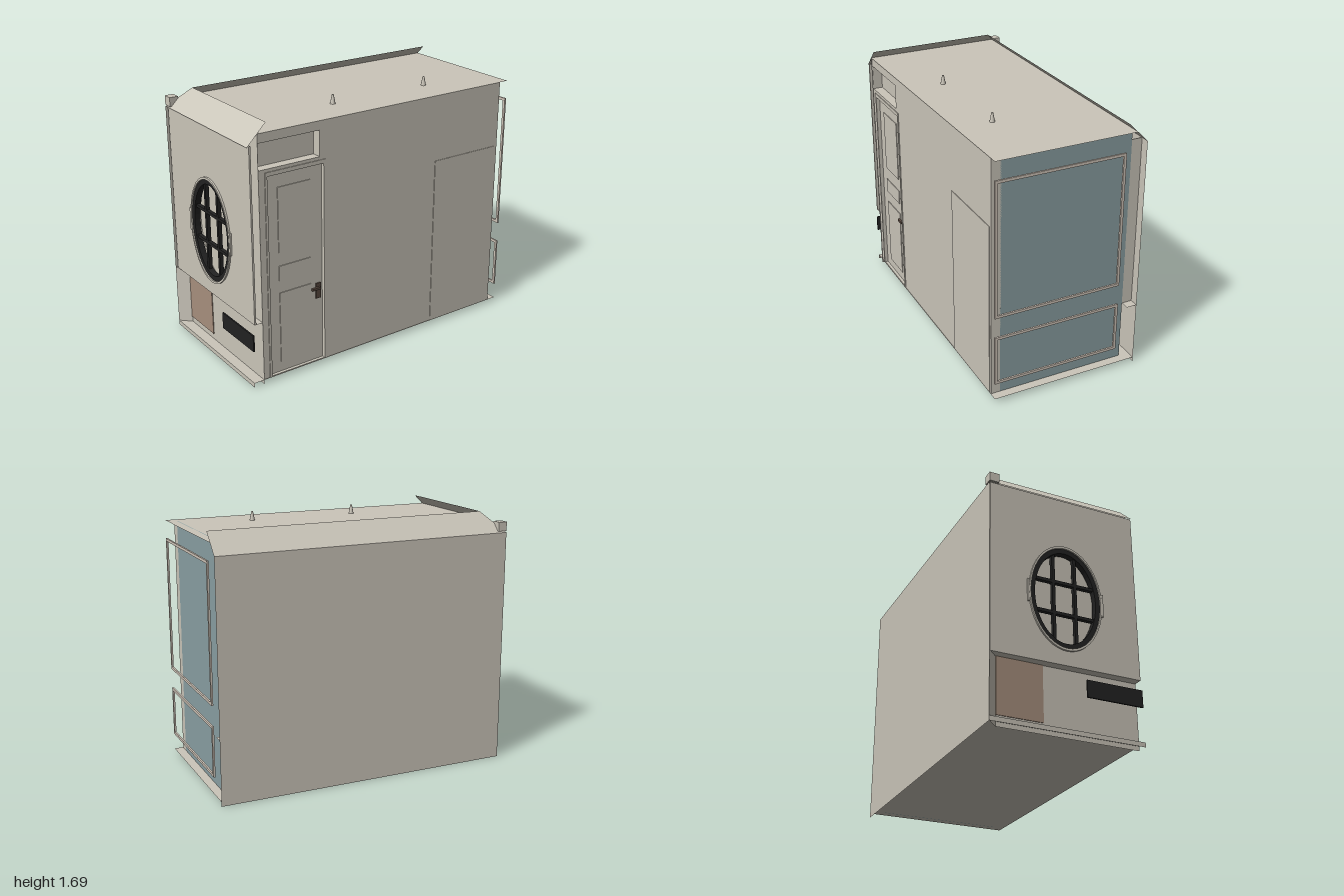
import * as THREE from 'three';

const mat = (name, color) => {
  const m = new THREE.MeshStandardMaterial({ color, side: THREE.DoubleSide });
  m.name = name;
  return m;
};

export function createModel() {
  const root = new THREE.Group();
  root.name = 'corridorSection';
  const plaster = mat('plaster', 0xcbc6ba);
  const teal = mat('tealPaint', 0x8aa0a3);
  const black = mat('blackMetal', 0x222222);
  const brown = mat('brownPanel', 0xa8907e);
  const bronze = mat('bronze', 0x5a4a40);
  const trim = mat('paleTrim', 0xcfc4b8);

  const add = (name, geo, material, parent = root) => {
    const m = new THREE.Mesh(geo, material);
    m.name = name;
    parent.add(m);
    return m;
  };
  // Box given by its minimum and maximum on each axis
  const box = (name, [x0, x1], [y0, y1], [z0, z1], material, parent) => {
    const m = add(name, new THREE.BoxGeometry(x1 - x0, y1 - y0, z1 - z0), material, parent);
    m.position.set((x0 + x1) / 2, (y0 + y1) / 2, (z0 + z1) / 2);
    return m;
  };
  // Flat four-cornered sheet
  const quad = (name, corners, material) => {
    const g = new THREE.BufferGeometry();
    g.setAttribute('position', new THREE.Float32BufferAttribute(corners.flat(), 3));
    g.setIndex([0, 1, 2, 0, 2, 3]);
    g.computeVertexNormals();
    return add(name, g, material);
  };
  const rect = (C, x0, x1, y0, y1) =>
    new C([[x0, y0], [x1, y0], [x1, y1], [x0, y1]].map(([x, y]) => new THREE.Vector2(x, y)));
  const oval = (C, rx, ry) => new C().absellipse(0.005, 0.875, rx, ry, 0, Math.PI * 2);
  const extrude = (shape, holes, depth) => {
    shape.holes.push(...holes);
    return new THREE.ExtrudeGeometry(shape, { depth, bevelEnabled: false, curveSegments: 24 });
  };

  // Floor and ceiling sheets, with a low rim under the floor
  quad('floor', [[-0.5, 0.03, 1], [0.5, 0.03, 1], [0.5, 0.03, -1], [-0.5, 0.03, -1]], plaster);
  quad('ceiling', [[-0.43, 1.63, 0.93], [0.5, 1.63, 0.93], [0.5, 1.63, -1], [-0.43, 1.63, -1]], plaster);
  quad('frontRim', [[-0.5, 0, 1], [0.5, 0, 1], [0.5, 0.03, 1], [-0.5, 0.03, 1]], plaster);

  // Sloping cornices that rise past the ceiling and meet at a mitre
  quad('frontCornice', [[-0.5, 1.56, 1], [0.5, 1.56, 1], [0.5, 1.69, 0.87], [-0.37, 1.69, 0.87]], plaster);
  quad('sideCornice', [[-0.5, 1.56, -1], [-0.5, 1.56, 1], [-0.37, 1.69, 0.87], [-0.37, 1.69, -1]], plaster);
  box('corniceCorner', [-0.5, -0.435], [1.57, 1.63], [0.94, 1], plaster);

  // Plain side wall and its inner layer
  quad('outerSideWall', [[-0.5, 0, -1], [-0.5, 0, 1], [-0.5, 1.56, 1], [-0.5, 1.56, -1]], plaster);
  quad('innerSideWall', [[-0.43, 0.03, -0.94], [-0.43, 0.03, 0.93], [-0.43, 1.63, 0.93], [-0.43, 1.63, -0.94]], plaster);
  quad('sideLedge', [[-0.5, 0.43, 1], [-0.43, 0.43, 0.93], [-0.43, 0.43, -1], [-0.5, 0.43, -1]], plaster);

  // Front: recessed lower wall, overhanging upper wall with an oval opening
  quad('innerFrontWall', [[-0.43, 0, 0.93], [0.5, 0, 0.93], [0.5, 1.63, 0.93], [-0.43, 1.63, 0.93]], plaster);
  quad('lowerMitre', [[-0.5, 0, 1], [-0.43, 0, 0.93], [-0.43, 0.43, 0.93], [-0.5, 0.43, 1]], plaster);
  quad('frontLedge', [[-0.5, 0.43, 0.985], [0.5, 0.43, 0.985], [0.5, 0.43, 0.93], [-0.43, 0.43, 0.93]], plaster);
  add('upperFrontWall', extrude(rect(THREE.Shape, -0.49, 0.5, 0.43, 1.565), [oval(THREE.Path, 0.24, 0.345)], 0.012), plaster)
    .position.z = 0.975;
  box('brownPanel', [-0.43, -0.13], [0.07, 0.43], [0.93, 0.935], brown);
  box('vent', [0.125, 0.5], [0.25, 0.36], [0.99, 1], black);

  // Oval window
  const win = new THREE.Group();
  win.name = 'ovalWindow';
  root.add(win);
  add('windowSurround', extrude(oval(THREE.Shape, 0.245, 0.352), [oval(THREE.Path, 0.235, 0.337)], 0.069), plaster, win)
    .position.z = 0.93;
  add('windowFrame', extrude(oval(THREE.Shape, 0.235, 0.337), [oval(THREE.Path, 0.205, 0.305)], 0.04), black, win)
    .position.z = 0.95;
  for (const s of [-1, 1]) {
    const x = 0.005 + s * 0.073, y = 0.875 + s * 0.105, ear = 0.005 + s * 0.249;
    box('uprightBar', [x - 0.01, x + 0.01], [0.573, 1.177], [0.955, 0.98], black, win);
    box('crossBar', [-0.203, 0.213], [y - 0.01, y + 0.01], [0.955, 0.98], black, win);
    box('windowEar', [ear - 0.006, ear + 0.006], [0.8, 0.95], [0.93, 0.998], plaster, win);
  }

  // Door wall with a door opening and a transom recess; shape x is -z
  const wall = add('doorWall', extrude(rect(THREE.Shape, -0.93, 0.94, 0.03, 1.63), [
    rect(THREE.Path, -0.875, -0.47, 0.035, 1.37),
    rect(THREE.Path, -0.925, -0.5, 1.405, 1.57),
  ], 0.065), plaster);
  wall.rotation.y = Math.PI / 2;
  wall.position.x = 0.43;
  box('transomBack', [0.425, 0.43], [1.4, 1.575], [0.495, 0.928], plaster);
  box('wallPanel', [0.495, 0.499], [0.03, 1.19], [-0.92, -0.4], plaster);

  // Door frame, leaf, raised panels and handle
  const door = new THREE.Group();
  door.name = 'door';
  root.add(door);
  for (const z of [0.46, 0.87]) box('doorJamb', [0.47, 0.5], [0.03, 1.385], [z, z + 0.015], plaster, door);
  box('doorHead', [0.47, 0.5], [1.36, 1.385], [0.46, 0.885], plaster, door);
  box('doorLeaf', [0.435, 0.475], [0.035, 1.355], [0.475, 0.87], plaster, door);
  for (const [y0, y1] of [[0.1, 0.58], [0.66, 0.76], [0.85, 1.27]])
    box('doorPanel', [0.475, 0.48], [y0, y1], [0.56, 0.79], plaster, door);
  box('handlePlate', [0.475, 0.482], [0.465, 0.57], [0.49, 0.525], bronze, door);
  box('handleLever', [0.482, 0.497], [0.53, 0.545], [0.5, 0.56], bronze, door);

  // Painted back wall with plain edge strips
  box('backWall', [-0.43, 0.435], [0.03, 1.63], [-0.94, -0.935], teal);
  box('backStripLeft', [0.435, 0.495], [0.03, 1.63], [-0.94, -0.935], plaster);
  box('backStripRight', [-0.5, -0.43], [0.43, 1.56], [-0.94, -0.935], plaster);

  // Picture-frame mouldings standing off the back wall
  for (const [y0, y1] of [[0.14, 0.475], [0.61, 1.51]]) {
    add('moulding', extrude(rect(THREE.Shape, -0.36, 0.5, y0, y1),
      [rect(THREE.Path, -0.342, 0.482, y0 + 0.018, y1 - 0.018)], 0.012), trim).position.z = -1;
  }

  // Lamp housings on top of the ceiling
  for (const z of [0.24, -0.48])
    add('lampHousing', new THREE.CylinderGeometry(0.006, 0.017, 0.058, 16), plaster).position.set(0.26, 1.659, z);

  return root;
}
